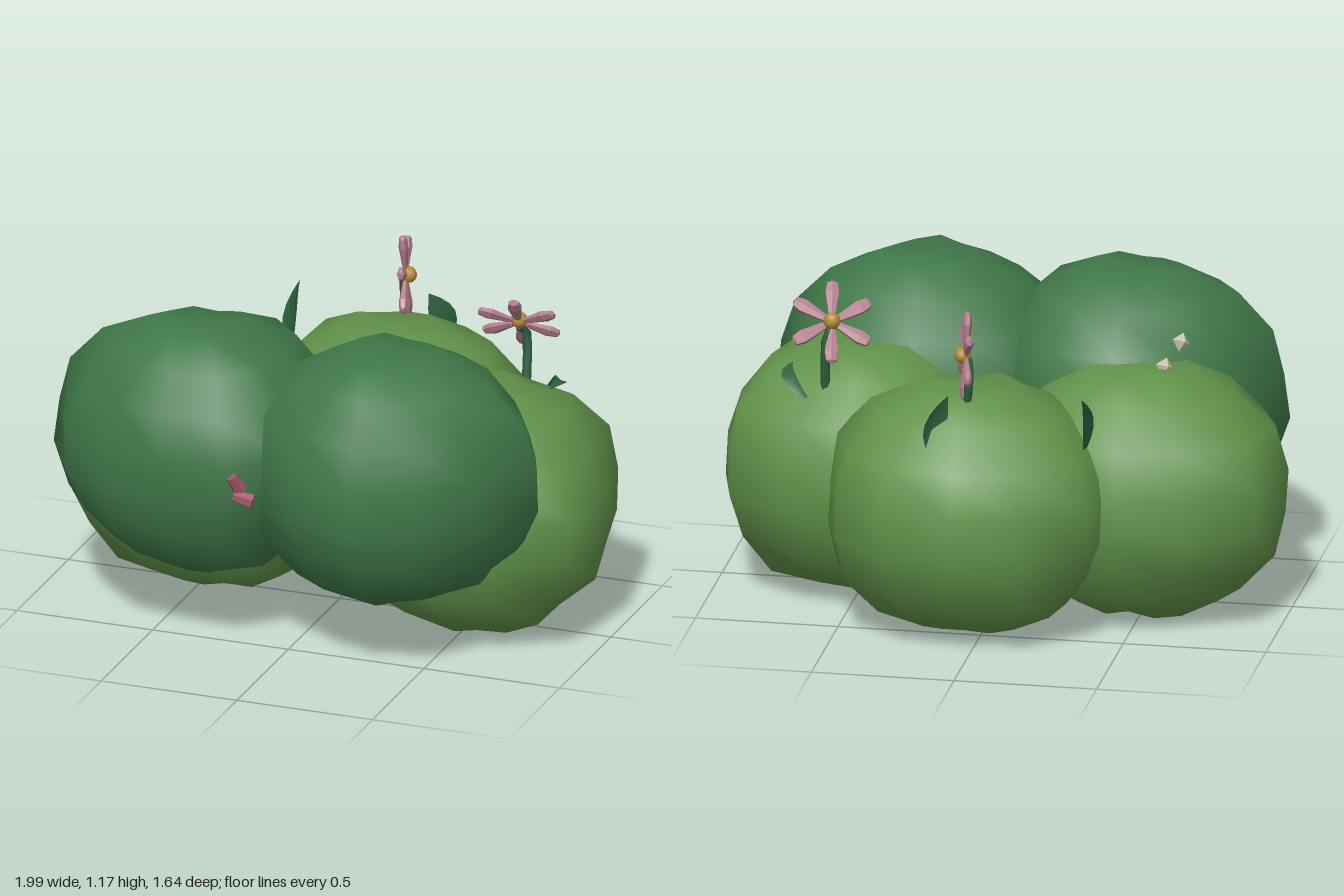
import * as THREE from 'three';
import { mergeVertices } from 'three/addons/utils/BufferGeometryUtils.js';

const DARK = 0x3f7848, LIGHT = 0x609149, STEM = 0x2f6340, PINK = 0xb37c8c, ROSE = 0xa0566a, GOLD = 0xb58a35, CREAM = 0xc8c0ae;
const V = (x, y, z) => new THREE.Vector3(x, y, z);

function mesh(name, geo, color, extra = {}) {
  const m = new THREE.Mesh(geo, new THREE.MeshStandardMaterial({ color, ...extra }));
  m.name = name;
  return m;
}

// Lumpy foliage mound: a coarse sphere shaped by twelve plan radii
// (every 30 degrees from +x towards +z), with seeded bumps and dimpled poles
function lobe(name, color, center, height, plan, seed) {
  const sphere = new THREE.SphereGeometry(1, 12, 9);
  sphere.deleteAttribute('uv');
  sphere.deleteAttribute('normal');
  const geo = mergeVertices(sphere, 1e-3);
  const pos = geo.attributes.position, p = V(0, 0, 0);
  for (let i = 0; i < pos.count; i++) {
    p.fromBufferAttribute(pos, i);
    const s = Math.sin(i * 12.9898 + seed * 78.233) * 43758.5453;
    const noise = s - Math.floor(s);
    const flat = Math.hypot(p.x, p.z), up = Math.abs(p.y);
    const n = 2.2;
    let r = (flat ** n + up ** n) ** (-1 / n) * (0.96 + 0.06 * noise);
    if (up > 0.99) r = 0.95;
    const sector = (Math.round(Math.atan2(p.z, p.x) / (Math.PI / 6)) + 12) % 12;
    pos.setXYZ(i, p.x * r * plan[sector], p.y * r * height, p.z * r * plan[sector]);
  }
  geo.computeVertexNormals();
  const m = mesh(name, geo, color);
  m.position.set(...center);
  return m;
}

// Six-petalled flower whose face points along +z before it is turned
function flower(name, center, normal, color, radius, roll) {
  const g = new THREE.Group();
  g.name = name;
  const profile = [[0, 0.02], [0.014, 0.03], [0.027, 0.72 * radius], [0.02, 0.94 * radius], [0, radius]]
    .map(([x, y]) => new THREE.Vector2(x, y));
  const petalGeo = new THREE.LatheGeometry(profile, 6);
  petalGeo.scale(1, 1, 0.65);
  for (let i = 0; i < 6; i++) {
    const petal = mesh('petal', petalGeo, color, { flatShading: true });
    petal.rotation.z = roll + i * Math.PI / 3;
    g.add(petal);
  }
  const heart = mesh('flowerCentre', new THREE.IcosahedronGeometry(0.03, 1), GOLD);
  heart.position.z = 0.01;
  g.add(heart);
  g.position.copy(center);
  g.quaternion.setFromUnitVectors(V(0, 0, 1), normal.clone().normalize());
  return g;
}

function stem(points) {
  const path = new THREE.CatmullRomCurve3(points);
  return mesh('stem', new THREE.TubeGeometry(path, 4, 0.017, 5), STEM);
}

// Folded leaf blade swept along base, middle and tip
function leaf(base, mid, tip, side, width) {
  const path = new THREE.QuadraticBezierCurve3(base, mid, tip);
  const verts = [], index = [], n = 6;
  const fold = V(0, 0, 0).crossVectors(tip.clone().sub(base), side).normalize();
  for (let i = 0; i <= n; i++) {
    const t = i / n, c = path.getPoint(t);
    const w = width * Math.sin(Math.PI * (0.12 + 0.88 * t));
    for (const k of [-1, 0, 1]) {
      const p = c.clone().addScaledVector(side, k * w).addScaledVector(fold, k === 0 ? -0.25 * w : 0);
      verts.push(p.x, p.y, p.z);
    }
    if (i < n) for (const k of [0, 1]) {
      const a = i * 3 + k;
      index.push(a, a + 1, a + 4, a, a + 4, a + 3);
    }
  }
  const geo = new THREE.BufferGeometry();
  geo.setAttribute('position', new THREE.Float32BufferAttribute(verts, 3));
  geo.setIndex(index);
  geo.computeVertexNormals();
  return mesh('leaf', geo, STEM, { side: THREE.DoubleSide });
}

export function createModel() {
  const bush = new THREE.Group();
  bush.name = 'floweringBush';

  // Two dark mounds in front, three light mounds on the ground behind
  bush.add(
    lobe('frontRightFoliage', DARK, [-0.39, 0.67, 0.32], 0.455,
      [0.5, 0.5, 0.48, 0.44, 0.43, 0.47, 0.54, 0.44, 0.45, 0.47, 0.5, 0.5], 1),
    lobe('frontLeftFoliage', DARK, [0.33, 0.67, 0.35], 0.455,
      [0.54, 0.44, 0.47, 0.47, 0.46, 0.5, 0.5, 0.5, 0.5, 0.46, 0.45, 0.5], 2),
    lobe('rightFoliage', LIGHT, [-0.47, 0.455, -0.07], 0.455,
      [0.5, 0.5, 0.46, 0.44, 0.46, 0.53, 0.535, 0.56, 0.48, 0.46, 0.48, 0.5], 3),
    lobe('leftFoliage', LIGHT, [0.48, 0.455, 0], 0.455,
      [0.515, 0.56, 0.48, 0.44, 0.45, 0.45, 0.45, 0.45, 0.46, 0.45, 0.46, 0.54], 4),
    lobe('backFoliage', LIGHT, [0.05, 0.45, -0.37], 0.45,
      [0.53, 0.47, 0.43, 0.4, 0.43, 0.47, 0.5, 0.53, 0.49, 0.46, 0.5, 0.52], 5),
  );

  // Flowers standing above the foliage
  bush.add(
    flower('backFlower', V(0.05, 1.03, -0.51), V(0.97, 0.05, -0.25), PINK, 0.155, 0.2),
    stem([V(0.04, 1.02, -0.52), V(0.03, 0.97, -0.55), V(0.05, 0.8, -0.52)]),
    flower('leftFlower', V(0.57, 1.03, -0.24), V(-0.15, 0.66, -0.74), PINK, 0.155, 0.5),
    stem([V(0.57, 1.02, -0.24), V(0.58, 0.99, -0.285), V(0.59, 0.75, -0.26)]),
  );

  // Leaves
  bush.add(
    leaf(V(0.13, 0.72, -0.68), V(0.14, 0.85, -0.68), V(0.09, 0.92, -0.63), V(0.6, 0, -0.8), 0.055),
    leaf(V(-0.36, 0.7, -0.47), V(-0.4, 0.83, -0.52), V(-0.37, 0.92, -0.59), V(0.3, 0, -0.95), 0.04),
    leaf(V(0.65, 0.77, -0.31), V(0.76, 0.87, -0.29), V(0.72, 0.84, -0.12), V(0.9, -0.4, 0), 0.025),
  );

  // Petals peeking out of the front cleft
  for (const [x, y, z, tilt] of [[-0.12, 0.69, 0.7, 0.3], [-0.09, 0.635, 0.7, 1.3]]) {
    const petal = mesh('frontPetal', new THREE.CylinderGeometry(0.02, 0.028, 0.07, 6), ROSE, { flatShading: true });
    petal.position.set(x, y, z);
    petal.rotation.set(0.5, 0, tilt);
    bush.add(petal);
  }

  // Pale bud tips on the right mound
  for (const [x, y, z] of [[-0.57, 0.89, -0.1], [-0.61, 0.95, 0]]) {
    const bud = mesh('budTip', new THREE.OctahedronGeometry(0.034), CREAM, { flatShading: true });
    bud.position.set(x, y, z);
    bud.rotation.set(0.4, 0.6, 0.2);
    bush.add(bud);
  }
  return bush;
}
